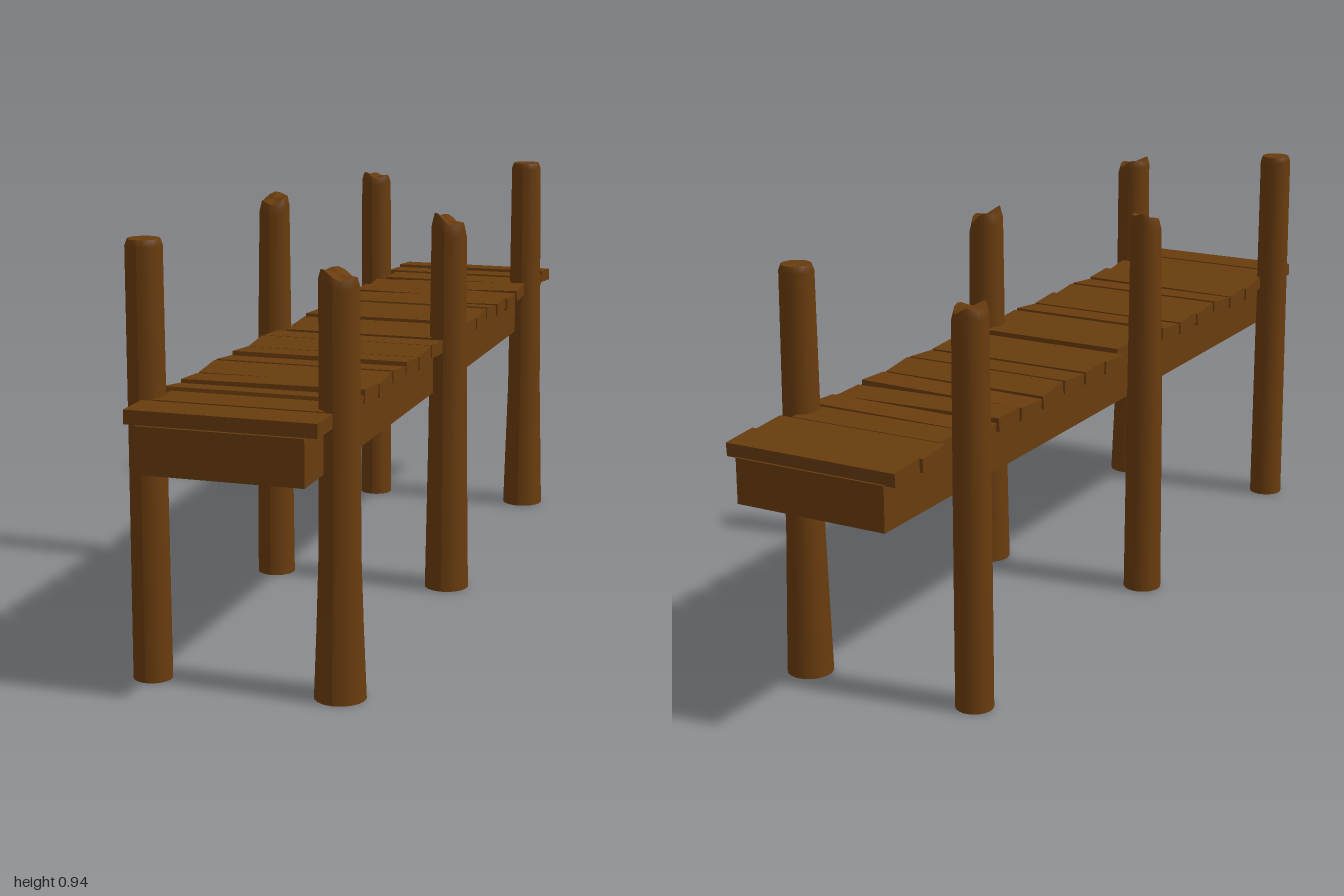
import * as THREE from 'three';

const wood = new THREE.MeshStandardMaterial({ color: 0x693c0e });
wood.name = 'brown wood';

// Tapered round post; rings are [height fraction, radius, x shift, z shift] from the ground up,
// and the worn top is tilted by slopeX / slopeZ and roughened by chip.
function makePost({ x, z, height, rings, slopeX = 0, slopeZ = 0, chip = 0 }) {
  const steps = rings.length - 1;
  const geo = new THREE.CylinderGeometry(1, 1, 1, 18, steps);
  const pos = geo.attributes.position;
  for (let i = 0; i < pos.count; i++) {
    const row = Math.round((pos.getY(i) + 0.5) * steps);
    const [f, r, sx = 0, sz = 0] = rings[row];
    const px = pos.getX(i) * r, pz = pos.getZ(i) * r;
    let y = f * height;
    if (row >= steps - 1) {
      y += px * slopeX + pz * slopeZ;
      const a = Math.atan2(pz, px);
      y += chip * Math.sin(3 * a + 1) * (r > 0 ? Math.hypot(px, pz) / r : 0);
    }
    pos.setXYZ(i, px + sx, y, pz + sz);
  }
  geo.computeVertexNormals();
  const post = new THREE.Mesh(geo, wood);
  post.position.set(x, 0, z);
  return post;
}

export function createModel() {
  const group = new THREE.Group();

  // Solid support under the deck
  const beam = new THREE.Mesh(new THREE.BoxGeometry(0.36, 0.1, 2), wood);
  beam.name = 'deckBeam';
  beam.position.set(0.005, 0.53, 0);
  group.add(beam);

  // Loose planks from front to back: [tilt, roll, yaw, drop]
  const lay = [
    [0, 0, 0, 0], [0, 0, 0, 0], [-0.13, 0, 0, 0], [-0.06, 0.01, 0, 0], [0.1, 0, 0, 0],
    [-0.1, 0, 0, 0], [-0.08, 0, 0, 0], [0.1, 0, 0, 0], [-0.06, 0, 0, 0], [0, 0, 0, 0],
    [0.06, 0, 0, -0.006], [-0.05, 0, 0, 0], [0.08, 0, 0, 0], [-0.12, 0, 0, 0], [0.05, 0.015, 0.015, -0.005],
    [0, -0.015, 0.025, -0.005], [0.07, 0.015, 0.03, -0.004], [0, 0, 0.01, 0], [-0.06, 0, 0.01, 0], [-0.07, 0, 0, 0],
  ];
  const planks = new THREE.Group();
  planks.name = 'planks';
  lay.forEach(([tilt, roll, yaw, drop], i) => {
    // Planks between a pair of posts are cut short
    const short = i === 1 || i === 9 || i === 17;
    const plank = new THREE.Mesh(new THREE.BoxGeometry(short ? 0.365 : 0.41, 0.03, 0.091), wood);
    plank.name = 'plank' + (i + 1);
    plank.position.set(0.006, 0.596 + drop, 0.95 - i * 0.1);
    plank.rotation.set(tilt, yaw, roll);
    planks.add(plank);
  });
  group.add(planks);

  // Six weathered posts, each with its own taper and worn top
  const posts = {
    frontLeftPost: {
      x: 0.207, z: 0.85, height: 0.882, slopeX: -0.25, chip: 0.006,
      rings: [[0, 0.055], [0.17, 0.049], [0.35, 0.044], [0.98, 0.042, 0, -0.001], [1, 0.037]],
    },
    frontRightPost: {
      x: -0.208, z: 0.855, height: 0.935,
      rings: [[0, 0.042], [0.5, 0.04], [0.985, 0.039], [1, 0.034]],
    },
    middleLeftPost: {
      x: 0.212, z: 0.06, height: 0.885, slopeX: -0.35, slopeZ: 0.1, chip: 0.008,
      rings: [[0, 0.052], [0.4, 0.046], [0.97, 0.041], [1, 0.035]],
    },
    middleRightPost: {
      x: -0.22, z: 0.065, height: 0.92, slopeX: 0.1, slopeZ: -0.3, chip: 0.004,
      rings: [[0, 0.045], [0.5, 0.042], [0.975, 0.036, 0.006, 0.008], [1, 0.031, 0.006, 0.006]],
    },
    backLeftPost: {
      x: 0.205, z: -0.738, height: 0.932,
      rings: [[0, 0.052], [0.35, 0.043], [0.985, 0.038, -0.004, -0.006], [1, 0.033, -0.004, -0.006]],
    },
    backRightPost: {
      x: -0.212, z: -0.724, height: 0.885, slopeX: -0.1, slopeZ: 0.1, chip: 0.007,
      rings: [[0, 0.042], [0.5, 0.041], [0.98, 0.039], [1, 0.034]],
    },
  };
  for (const [name, spec] of Object.entries(posts)) {
    const post = makePost(spec);
    post.name = name;
    group.add(post);
  }
  return group;
}
